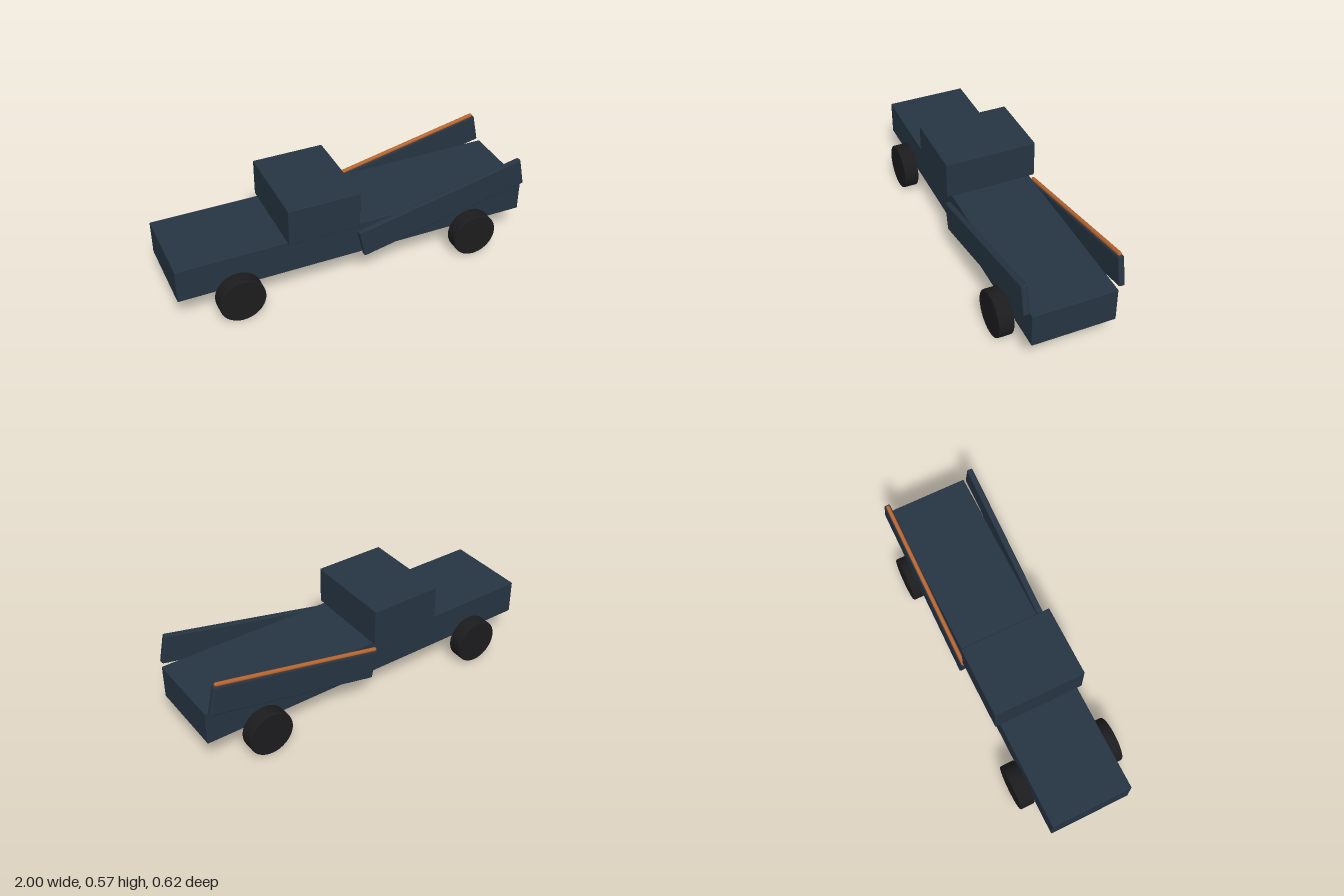
import * as THREE from 'three';
import { RoundedBoxGeometry } from 'three/addons/geometries/RoundedBoxGeometry.js';

const paint = new THREE.MeshStandardMaterial({ color: 0x263442 });
const rubber = new THREE.MeshStandardMaterial({ color: 0x1c1c1e });
const steel = new THREE.MeshStandardMaterial({ color: 0x2a2a2c });
const copper = new THREE.MeshStandardMaterial({ color: 0xb8652f });

function add(parent, name, geometry, material, x, y, z) {
  const mesh = new THREE.Mesh(geometry, material);
  mesh.name = name;
  mesh.position.set(x, y, z);
  parent.add(mesh);
  return mesh;
}

const box = (w, h, d, r) => new RoundedBoxGeometry(w, h, d, 3, r);

// Solid disc with softened rims, axis along z
function wheelGeometry(radius, width) {
  const h = width / 2, b = 0.008;
  const profile = [new THREE.Vector2(0, -h)];
  for (const [cy, from] of [[-h + b, -Math.PI / 2], [h - b, 0]]) {
    for (let i = 0; i <= 4; i++) {
      const a = from + (i / 4) * Math.PI / 2;
      profile.push(new THREE.Vector2(radius - b + b * Math.cos(a), cy + b * Math.sin(a)));
    }
  }
  profile.push(new THREE.Vector2(0, h));
  return new THREE.LatheGeometry(profile, 40).rotateX(Math.PI / 2);
}

export function createModel() {
  const model = new THREE.Group();
  model.name = 'truck';

  // Body, cabin and underside plate
  add(model, 'body', box(2, 0.193, 0.456, 0.005), paint, 0, 0.266, 0);
  add(model, 'cabin', box(0.4, 0.211, 0.513, 0.005), paint, -0.2, 0.468, 0);
  add(model, 'chassisPlate', box(1.91, 0.024, 0.24, 0.0115), steel, 0, 0.137, 0);

  // Four wheels
  const wheel = wheelGeometry(0.127, 0.084);
  for (const x of [-0.68, 0.68]) {
    for (const side of [-1, 1]) add(model, 'wheel', wheel, rubber, x, 0.127, side * 0.267);
  }

  // Tilted side panels
  for (const side of [-1, 1]) {
    const panel = new THREE.Group();
    panel.name = side > 0 ? 'frontSidePanel' : 'backSidePanel';
    panel.position.set(0.49, 0.347, side * 0.252);
    panel.rotation.z = THREE.MathUtils.degToRad(12);
    model.add(panel);
    add(panel, 'panelBoard', box(0.987, 0.164, 0.033, 0.008), paint, 0, 0, 0);

    // Copper rail along the back panel only
    if (side < 0) {
      const rail = new THREE.CapsuleGeometry(0.011, 0.955, 6, 16).rotateZ(Math.PI / 2);
      add(panel, 'rail', rail, copper, -0.002, 0.09, 0);
    }
  }
  return model;
}
